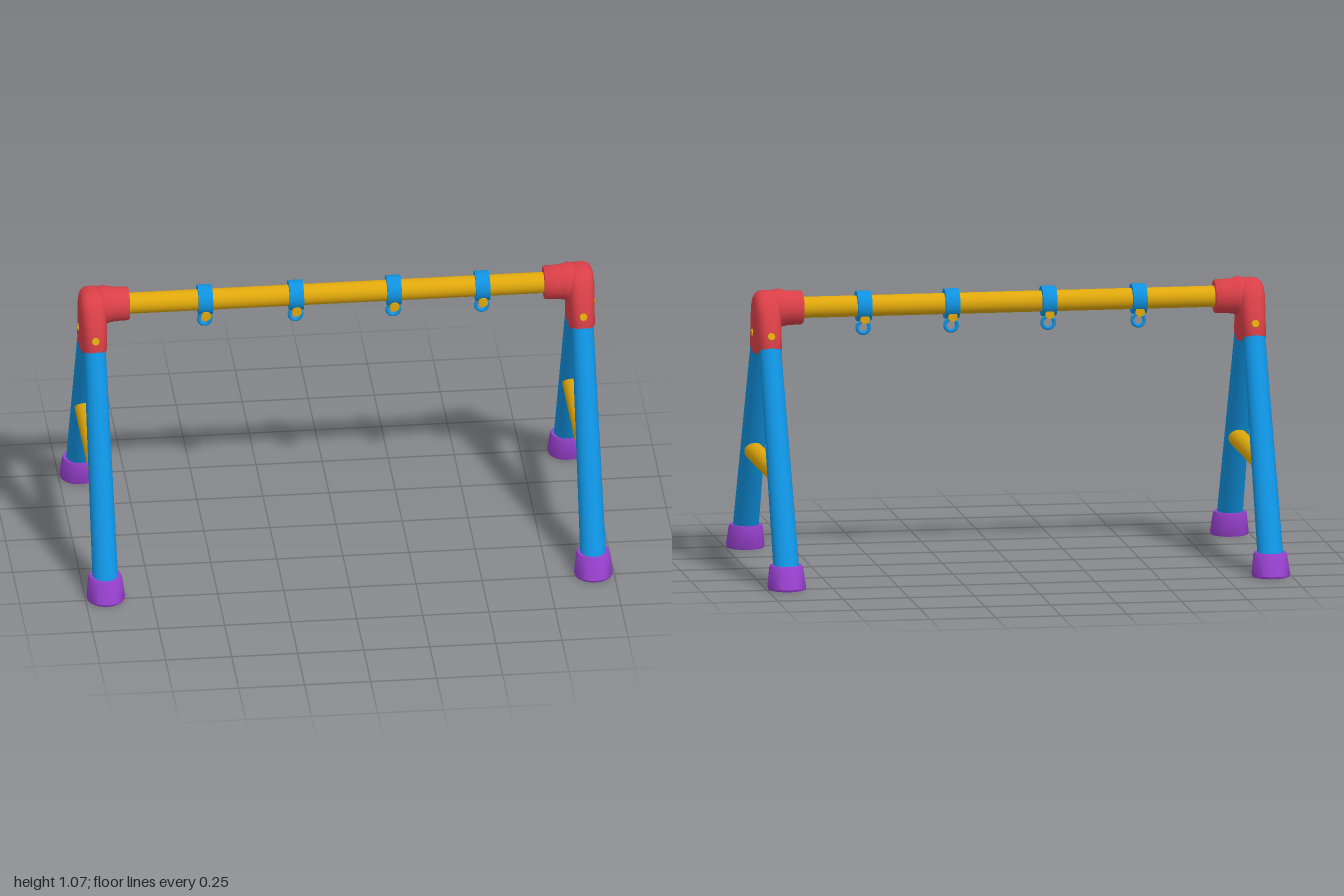
import * as THREE from 'three';
import { toCreasedNormals } from 'three/addons/utils/BufferGeometryUtils.js';

const material = (name, color) => {
  const m = new THREE.MeshStandardMaterial({ color });
  m.name = name;
  return m;
};

// Closed loft through rings [y, centreZ, halfX, halfZ, endLift]; power < 1 squares the section
function loft(rings, power = 1, n = 32) {
  const pos = [], idx = [];
  const bend = v => Math.sign(v) * Math.pow(Math.abs(v), power);
  for (const [y, cz, hx, hz, lift = 0] of rings) {
    for (let i = 0; i < n; i++) {
      const a = (i / n) * Math.PI * 2;
      const s = bend(Math.sin(a));
      pos.push(hx * bend(Math.cos(a)), y + lift * s * s, cz + hz * s);
    }
  }
  const last = (rings.length - 1) * n;
  const bottom = pos.length / 3, top = bottom + 1;
  pos.push(0, rings[0][0], rings[0][1]);
  pos.push(0, rings.at(-1)[0], rings.at(-1)[1]);
  for (let i = 0; i < n; i++) {
    const k = (i + 1) % n;
    for (let r = 0; r < last; r += n) {
      idx.push(r + i, r + n + i, r + k, r + k, r + n + i, r + n + k);
    }
    idx.push(bottom, i, k, top, last + k, last + i);
  }
  const g = new THREE.BufferGeometry();
  g.setAttribute('position', new THREE.Float32BufferAttribute(pos, 3));
  g.setIndex(idx);
  return toCreasedNormals(g, 0.7);
}

export function createModel() {
  const red = material('red plastic', 0xd93f47);
  const yellow = material('yellow plastic', 0xe0a80c);
  const blue = material('blue plastic', 0x0f92e0);
  const purple = material('purple rubber', 0x9640cc);

  const add = (parent, name, geometry, mat, x = 0, y = 0, z = 0) => {
    const mesh = new THREE.Mesh(geometry, mat);
    mesh.name = name;
    mesh.position.set(x, y, z);
    parent.add(mesh);
    return mesh;
  };

  // Round bar between two points
  const bar = (parent, name, mat, from, to, r0, r1 = r0, sides = 28) => {
    const a = new THREE.Vector3(...from), b = new THREE.Vector3(...to);
    const mesh = add(parent, name, new THREE.CylinderGeometry(r1, r0, a.distanceTo(b), sides), mat);
    mesh.position.copy(a).add(b).multiplyScalar(0.5);
    mesh.quaternion.setFromUnitVectors(new THREE.Vector3(0, 1, 0), b.sub(a).normalize());
    return mesh;
  };

  const model = new THREE.Group();
  model.name = 'swingFrame';

  // Connector hood: arched over the two legs, lower edge dipping in the middle
  const hoodGeometry = loft([
    [0.823, 0, 0.049, 0.138, 0.03],
    [0.835, 0, 0.052, 0.139, 0.026],
    [0.9, 0, 0.052, 0.127, 0.01],
    [0.95, 0, 0.052, 0.113],
    [0.995, 0, 0.052, 0.094],
    [1.025, 0, 0.049, 0.075],
    [1.045, 0, 0.041, 0.053],
    [1.055, 0, 0.028, 0.034],
    [1.06, 0, 0.008, 0.01],
  ], 0.7);

  // Socket that takes the end of the top beam
  const socketGeometry = toCreasedNormals(new THREE.LatheGeometry([
    [0, -0.03], [0.045, -0.025], [0.06, -0.005], [0.067, 0.02], [0.075, 0.046], [0.069, 0.062],
    [0.065, 0.085], [0.064, 0.132], [0.06, 0.138], [0, 0.138],
  ].map(p => new THREE.Vector2(...p)), 32), 0.7);

  // Foot: flared cap leaning outwards
  const footGeometry = loft([
    [0, 0.487, 0.07, 0.072],
    [0.008, 0.487, 0.073, 0.076],
    [0.08, 0.474, 0.064, 0.065],
    [0.09, 0.472, 0.06, 0.061],
  ]);

  // A-shaped end frames
  for (const side of [-1, 1]) {
    const frame = new THREE.Group();
    frame.name = side > 0 ? 'leftEndFrame' : 'rightEndFrame';
    frame.position.x = side * 0.923;
    if (side > 0) frame.rotation.y = Math.PI;
    model.add(frame);

    add(frame, 'connectorHood', hoodGeometry, red);
    add(frame, 'beamSocket', socketGeometry, red, 0, 0.991, 0).rotation.z = -Math.PI / 2;
    bar(frame, 'outerBolt', yellow, [-0.04, 0.9, 0], [-0.056, 0.9, 0], 0.018, 0.014, 12);
    bar(frame, 'crossbar', yellow, [0, 0.4, -0.31], [0, 0.4, 0.31], 0.036);

    for (const end of [-1, 1]) {
      bar(frame, 'leg', blue, [0, 0.04, end * 0.494], [0, 1.0, end * 0.025], 0.049, 0.04);
      const foot = add(frame, 'foot', footGeometry, purple);
      if (end < 0) foot.rotation.y = Math.PI;
      bar(frame, 'legBolt', yellow, [0, 0.895, end * 0.105], [0, 0.905, end * 0.133], 0.018, 0.014, 12);
    }
  }

  // Top beam
  bar(model, 'topBeam', yellow, [-0.82, 0.991, 0], [0.82, 0.991, 0], 0.04);

  // Hanger bands with bolt and ring
  for (const x of [-0.497, -0.153, 0.217, 0.552]) {
    const hanger = new THREE.Group();
    hanger.name = 'hanger';
    hanger.position.x = x;
    model.add(hanger);
    bar(hanger, 'band', blue, [-0.027, 0.991, 0], [0.027, 0.991, 0], 0.057);
    bar(hanger, 'bandBolt', yellow, [0, 0.946, -0.046], [0, 0.946, 0.056], 0.018, 0.018, 14);
    add(hanger, 'ring', new THREE.TorusGeometry(0.023, 0.007, 10, 28), blue, 0, 0.909, 0);
  }

  return model;
}
